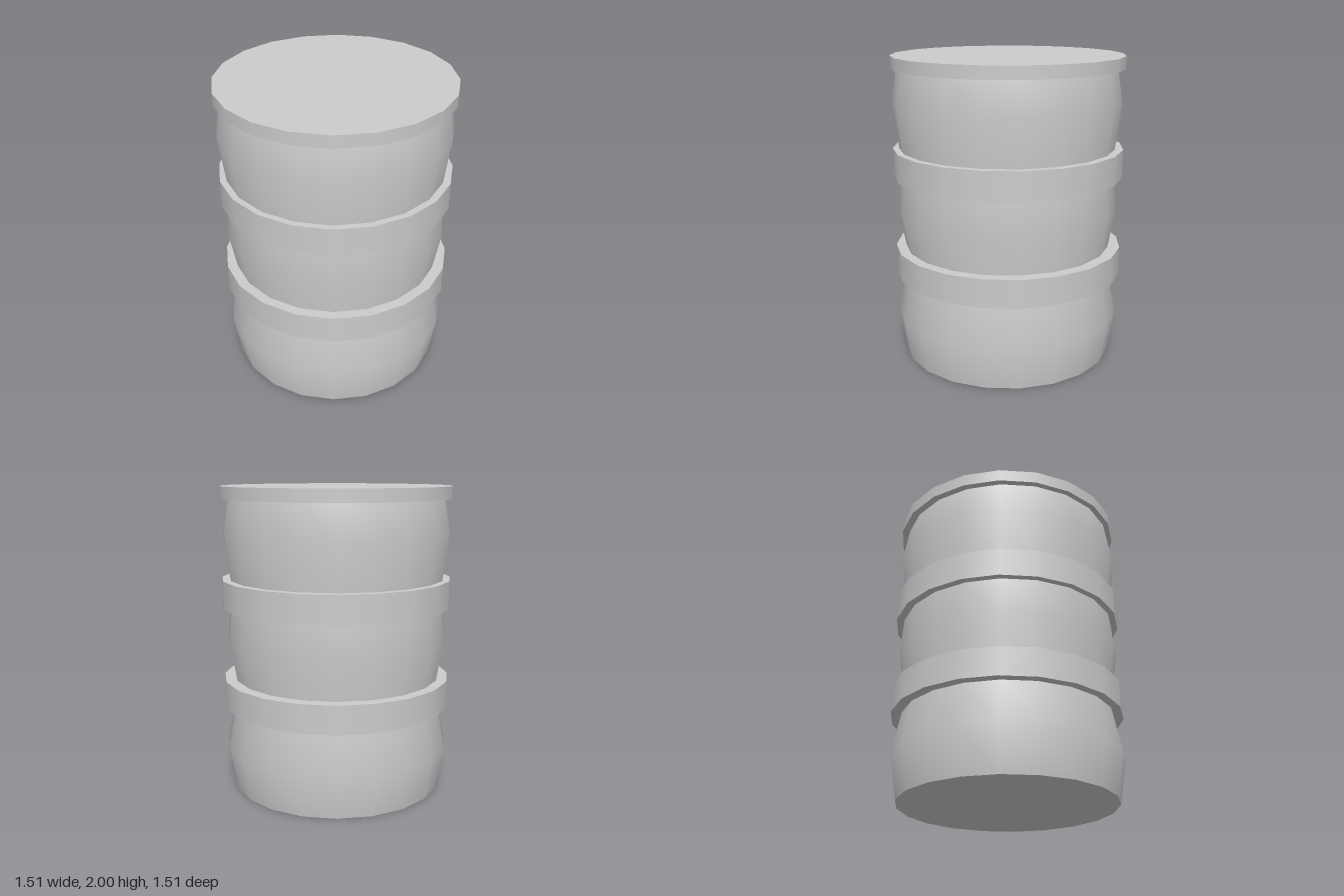
import * as THREE from 'three';

const SIDES = 20;
const HOOP_RADIUS = 0.755;

export function createModel() {
  const group = new THREE.Group();
  group.name = 'barrel';
  const material = new THREE.MeshStandardMaterial({ color: 0xcccccc });

  const add = (name, geometry, parent = group) => {
    const mesh = new THREE.Mesh(geometry, material);
    mesh.name = name;
    parent.add(mesh);
    return mesh;
  };

  // Body with three bulges, sitting very slightly off the hoops' axis
  const body = new THREE.Group();
  body.name = 'body';
  body.position.set(-0.003, 0, 0.006);
  group.add(body);

  const profile = [
    [0.7, 0], [0.746, 0.285], [0.691, 0.56],
    [0.684, 0.745], [0.729, 1.0], [0.708, 1.22],
    [0.708, 1.405], [0.746, 1.71], [0.709, 1.93],
  ].map(([r, y]) => new THREE.Vector2(r, y));
  add('bodyWall', new THREE.LatheGeometry(profile, SIDES), body);

  // Flat bottom, facing down
  add('bodyBottom', new THREE.CircleGeometry(0.7, SIDES).rotateX(Math.PI / 2), body);

  // Two wide hoops and the thin lid: [name, bottom, top]
  for (const [name, y0, y1] of [
    ['lowerHoop', 0.56, 0.745],
    ['upperHoop', 1.22, 1.405],
    ['lid', 1.92, 2],
  ]) {
    const hoop = add(name, new THREE.CylinderGeometry(HOOP_RADIUS, HOOP_RADIUS, y1 - y0, SIDES));
    hoop.position.y = (y0 + y1) / 2;
  }

  return group;
}
